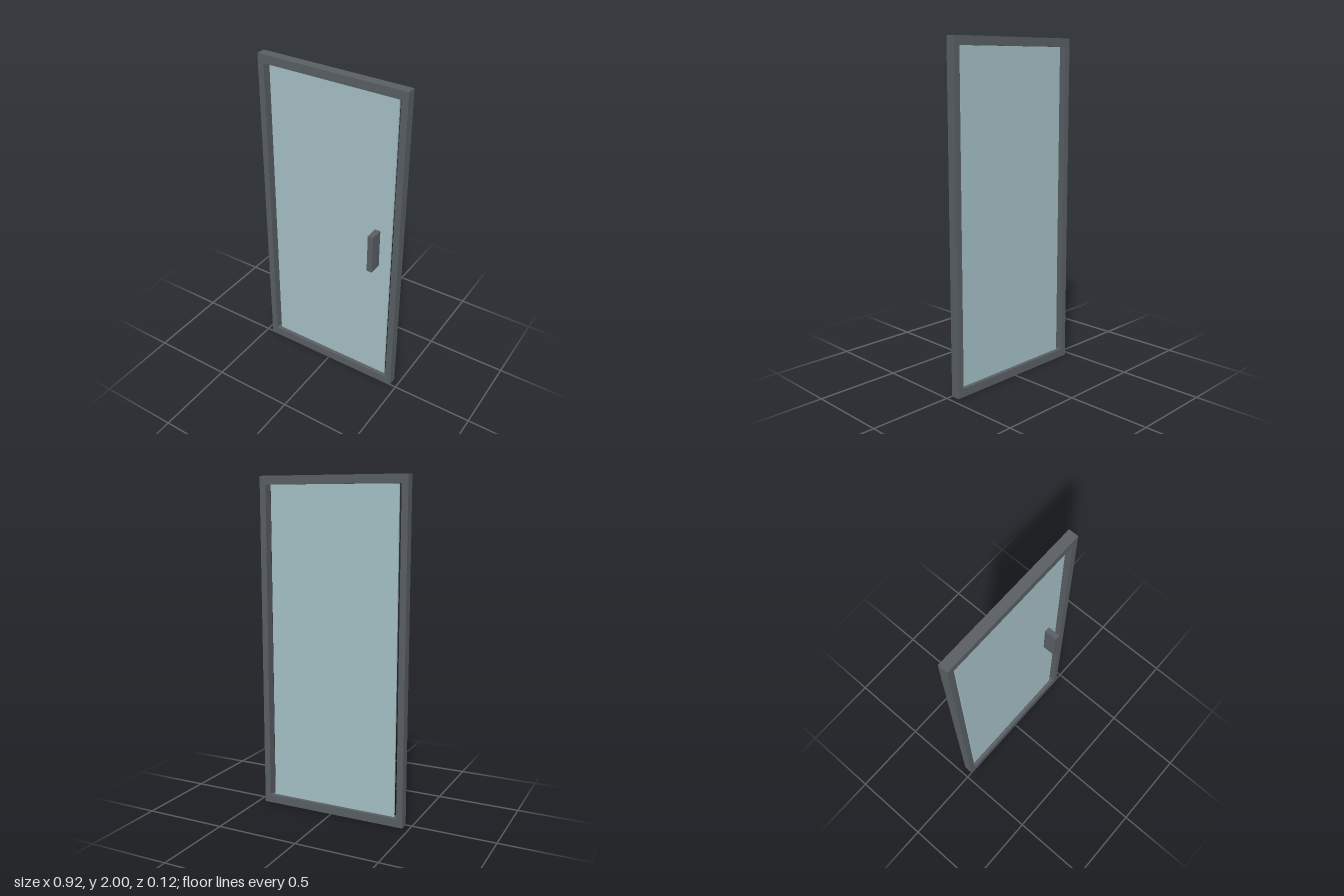
import * as THREE from 'three';

const frameGrey = new THREE.MeshStandardMaterial({ color: 0x585e63 });
frameGrey.name = 'frameGrey';
const paleGlass = new THREE.MeshStandardMaterial({ color: 0xa3bec4 });
paleGlass.name = 'paleGlass';

// Box given by its min and max corners
function addBox(parent, name, material, min, max) {
  const size = max.map((v, i) => v - min[i]);
  const mesh = new THREE.Mesh(new THREE.BoxGeometry(...size), material);
  mesh.position.set(...max.map((v, i) => (v + min[i]) / 2));
  mesh.name = name;
  parent.add(mesh);
}

export function createModel() {
  const door = new THREE.Group();
  door.name = 'glassDoor';

  const halfWidth = 0.46, height = 2, rail = 0.05, stile = 0.038;
  const back = -0.0575, front = 0;

  // Frame: full-width rails with stiles between them
  const frame = new THREE.Group();
  frame.name = 'frame';
  door.add(frame);
  addBox(frame, 'bottomRail', frameGrey, [-halfWidth, 0, back], [halfWidth, rail, front]);
  addBox(frame, 'topRail', frameGrey, [-halfWidth, height - rail, back], [halfWidth, height, front]);
  addBox(frame, 'leftStile', frameGrey, [halfWidth - stile, rail, back], [halfWidth, height - rail, front]);
  addBox(frame, 'rightStile', frameGrey, [-halfWidth, rail, back], [stile - halfWidth, height - rail, front]);

  // Glass pane, centred in the frame depth with a narrow gap at each side
  addBox(door, 'glassPane', paleGlass, [-0.4, rail, -0.034], [0.4, height - rail, -0.023]);

  // Pull handle standing on the glass
  addBox(door, 'handle', frameGrey, [0.293, 0.88, -0.023], [0.327, 1.12, 0.0575]);

  return door;
}
